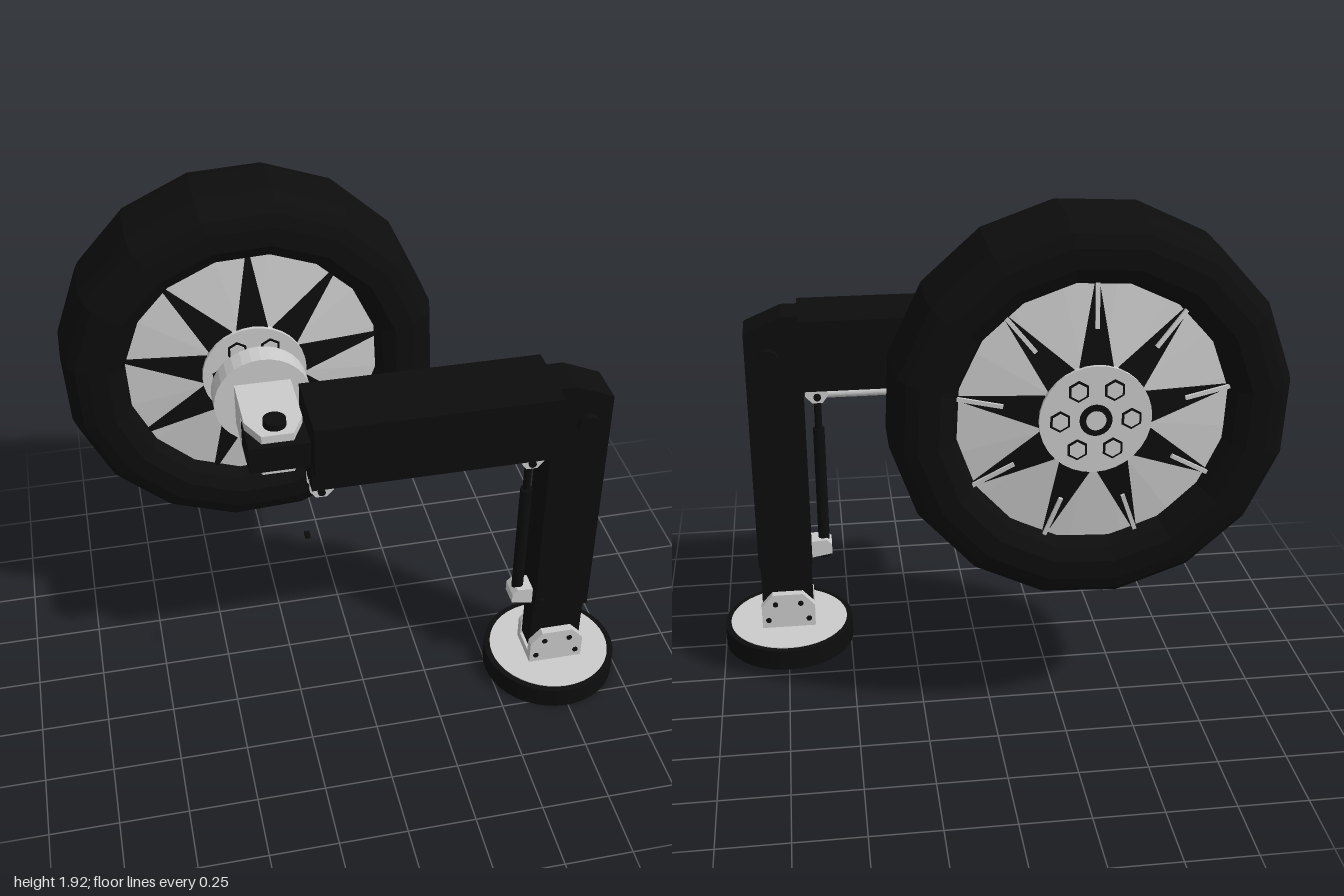
import * as THREE from 'three';

export function createModel() {
  const root = new THREE.Group();
  const grey = new THREE.MeshStandardMaterial({ color: 0xcccccc, flatShading: true });
  const black = new THREE.MeshStandardMaterial({ color: 0x0d0d0d, flatShading: true });

  const add = (name, geo, mat, parent = root) => {
    const m = new THREE.Mesh(geo, mat);
    m.name = name;
    parent.add(m);
    return m;
  };
  // box given by its limits
  const box = (name, mat, x0, x1, y0, y1, z0, z1, parent) => {
    const m = add(name, new THREE.BoxGeometry(x1 - x0, y1 - y0, z1 - z0), mat, parent);
    m.position.set((x0 + x1) / 2, (y0 + y1) / 2, (z0 + z1) / 2);
    return m;
  };
  // cylinder along an axis, centred at x, y, z
  const rod = (name, mat, axis, r, len, x, y, z, sides = 24, parent = root) => {
    const g = new THREE.CylinderGeometry(r, r, len, sides);
    if (axis === 'x') g.rotateZ(Math.PI / 2);
    if (axis === 'z') g.rotateX(Math.PI / 2);
    const m = add(name, g, mat, parent);
    m.position.set(x, y, z);
    return m;
  };
  // outline in x, y extruded from z0 to z1
  const plate = (name, mat, pts, z0, z1, parent) => {
    const shape = new THREE.Shape(pts.map(p => new THREE.Vector2(...p)));
    const g = new THREE.ExtrudeGeometry(shape, { depth: z1 - z0, bevelEnabled: false });
    g.translate(0, 0, z0);
    return add(name, g, mat, parent);
  };

  // --- Wheel, axis along z ---
  const wheel = new THREE.Group();
  wheel.name = 'wheel';
  wheel.position.set(-0.317, 1.24, -0.337);
  root.add(wheel);
  const lathe16 = pts => {
    const g = new THREE.LatheGeometry(pts.map(p => new THREE.Vector2(...p)), 16);
    g.rotateX(Math.PI / 2);
    g.rotateZ(-8.4 * Math.PI / 180);
    return g;
  };
  const half = [[0.46, 0.12], [0.485, 0.175], [0.53, 0.2], [0.6, 0.198], [0.645, 0.18], [0.672, 0.15], [0.688, 0.09]];
  const tyre = [...half.map(([r, z]) => [r, -z]), ...half.slice().reverse(), half[0].map((v, i) => i ? -v : v)];
  add('tyre', lathe16(tyre), black, wheel);

  for (const front of [true, false]) {
    const face = new THREE.Group();
    face.name = front ? 'rimInnerFace' : 'rimOuterFace';
    if (!front) face.rotation.y = Math.PI;
    wheel.add(face);
    // shallow faceted cone that closes the rim
    add('rimPanel', lathe16([[0.48, 0.125], [0.18, 0.16], [0.001, 0.16]]), grey, face);
    // nine tapering spokes
    for (let i = 0; i < 9; i++) {
      const spoke = new THREE.Group();
      spoke.name = 'spoke';
      spoke.rotation.z = i * Math.PI * 2 / 9;
      face.add(spoke);
      const wedge = plate('spokeWedge', black, [[-0.062, 0], [0.062, 0], [0.004, 0.33], [-0.004, 0.33]], -0.01, 0.008, spoke);
      wedge.position.set(0, 0.15, 0.163);
      wedge.rotation.x = -0.116;
      if (!front) {
        const rib = add('spokeRib', new THREE.BoxGeometry(0.014, 0.17, 0.02), grey, spoke);
        rib.position.set(0, 0.395, 0.142);
        rib.rotation.x = -0.116;
      }
    }
    // hub with hex bolts and centre ring
    rod('hub', grey, 'z', 0.19, 0.03, 0, 0, 0.165, 32, face);
    for (let i = 0; i < 6; i++) {
      const a = i * Math.PI / 3;
      const x = 0.12 * Math.cos(a), y = 0.12 * Math.sin(a);
      rod('boltRecess', black, 'z', 0.038, 0.006, x, y, 0.18, 6, face);
      rod('bolt', grey, 'z', 0.029, 0.012, x, y, 0.181, 6, face);
    }
    rod('hubRing', black, 'z', 0.055, 0.01, 0, 0, 0.181, 24, face);
    rod('hubCap', grey, 'z', 0.034, 0.014, 0, 0, 0.181, 24, face);
  }

  // --- Axle: flange, spigot and fork joined to the arm ---
  const ax = -0.317, ay = 1.245;
  rod('axleFlange', grey, 'z', 0.174, 0.085, ax, ay, -0.015, 32);
  rod('axleSpigot', grey, 'z', 0.095, 0.055, ax, ay, -0.08, 32);
  box('axleBlock', grey, -0.417, -0.217, 1.165, 1.325, 0.02, 0.17);
  const forkOutline = [[-0.1, 0.15], [0.1, 0.15], [0.1, 0.25], [0.055, 0.34], [-0.055, 0.34], [-0.1, 0.25]];
  for (const y of [1.195, 1.325]) {
    const fork = plate('forkPlate', grey, forkOutline, 0, 0.03);
    fork.rotation.x = Math.PI / 2;
    fork.position.set(ax, y, 0);
  }
  box('armTongue', black, -0.42, -0.2, 1.195, 1.295, 0.2, 0.365);
  rod('forkPin', black, 'y', 0.04, 0.21, ax, ay, 0.28);

  // --- Horizontal arm with a narrower keel ---
  box('upperArm', black, -0.21, 0.65, 1.195, 1.39, 0.153, 0.433);
  box('armKeel', black, -0.21, 0.65, 1.09, 1.2, 0.22, 0.37);

  // --- Knee and vertical leg ---
  plate('leg', black, [[0.64, 0.36], [0.85, 0.36], [0.85, 1.33], [0.71, 1.39], [0.64, 1.39]], 0.217, 0.37);
  rod('kneePin', black, 'z', 0.04, 0.21, 0.765, 1.23, 0.29);
  box('lowerLeg', black, 0.645, 0.845, 0.14, 0.37, 0.248, 0.342);

  // --- Rams on the inside of the knee ---
  const rz = 0.295;
  rod('armRam', grey, 'x', 0.02, 0.53, 0.295, 1.055, rz);
  rod('armRamRod', black, 'x', 0.011, 0.22, -0.07, 1.06, rz, 12);
  const lug = [[-0.04, 0.05], [0.045, 0.05], [0.045, 0], [0.02, -0.028], [-0.02, -0.028], [-0.04, 0]];
  for (const x of [-0.17, 0.59]) {
    for (const z of [rz - 0.035, rz + 0.02]) plate('ramLug', grey, lug, z, z + 0.015).position.set(x, 1.055, 0);
    rod('lugPin', black, 'z', 0.014, 0.09, x, 1.052, rz, 12);
  }
  rod('legRam', black, 'y', 0.022, 0.55, 0.59, 0.635, rz);
  rod('legRamRod', black, 'y', 0.014, 0.14, 0.59, 0.98, rz, 12);
  plate('legRamBracket', grey, [[0.56, 0.385], [0.645, 0.37], [0.645, 0.44], [0.58, 0.445], [0.56, 0.425]], rz - 0.04, rz + 0.04);
  rod('bracketPin', black, 'z', 0.015, 0.17, 0.66, 0.405, rz, 12);
  box('looseClip', black, -0.24, -0.222, 0.898, 0.912, 0.365, 0.39);

  // --- Foot ---
  const fx = 0.745, fz = 0.29;
  rod('footPad', black, 'y', 0.255, 0.083, fx, 0.0415, fz, 40);
  rod('footTop', grey, 'y', 0.232, 0.006, fx, 0.083, fz, 40);
  box('ankleBase', grey, 0.64, 0.85, 0.083, 0.122, 0.22, 0.37);
  const ankle = [[0.64, 0.085], [0.85, 0.085], [0.85, 0.18], [0.805, 0.23], [0.685, 0.23], [0.64, 0.18]];
  for (const [z0, z1] of [[0.217, 0.248], [0.342, 0.373]]) plate('anklePlate', grey, ankle, z0, z1);
  for (const [dx, y] of [[-0.05, 0.19], [0.05, 0.19], [-0.08, 0.12], [0.08, 0.12]]) {
    rod('ankleBolt', black, 'z', 0.011, 0.164, fx + dx, y, 0.295, 10);
  }
  return root;
}
